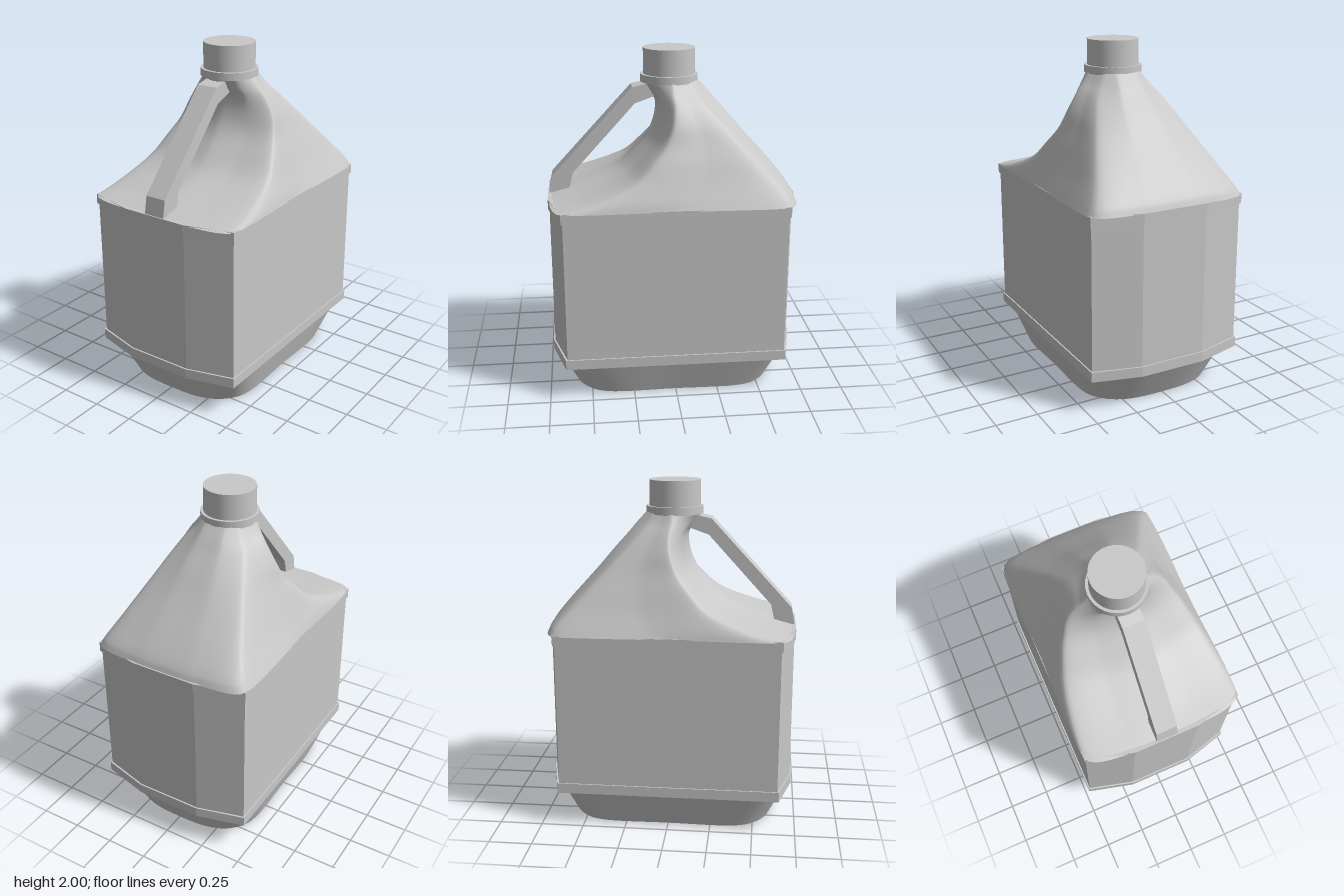
import * as THREE from 'three';

// Closed smooth ring through half-section points [x, z], from back centre to front centre
function ring(half, y, perSegment = 8, tension = 0.3) {
  const mirrored = half.slice(1, -1).reverse().map(([x, z]) => [-x, z]);
  const pts = [...half, ...mirrored].map(([x, z]) => new THREE.Vector3(x, y, z));
  const n = pts.length * perSegment;
  const curve = new THREE.CatmullRomCurve3(pts, true, 'catmullrom', tension);
  return Array.from({ length: n }, (_, i) => curve.getPoint(i / n));
}

// Skin a stack of rings, bottom to top
function loft(rings) {
  const n = rings[0].length;
  const geo = new THREE.BufferGeometry().setFromPoints(rings.flat());
  const index = [];
  for (let r = 0; r < rings.length - 1; r++) {
    for (let i = 0; i < n; i++) {
      const a = r * n + i, b = r * n + (i + 1) % n;
      index.push(a, a + n, b, b, a + n, b + n);
    }
  }
  geo.setIndex(index);
  geo.computeVertexNormals();
  return geo;
}

// Eight-sided plan extruded upward
function octagonPrism(hx, hz, y0, y1) {
  const cx = 0.2, cz = hz - 0.075;
  const shape = new THREE.Shape([
    [hx, -cz], [hx, cz], [cx, hz], [-cx, hz], [-hx, cz], [-hx, -cz], [-cx, -hz], [cx, -hz],
  ].map(([x, z]) => new THREE.Vector2(x, z)));
  const geo = new THREE.ExtrudeGeometry(shape, { depth: y1 - y0, bevelEnabled: false });
  return geo.rotateX(-Math.PI / 2).translate(0, y0, 0);
}

export function createModel() {
  const model = new THREE.Group();
  model.name = 'jug';
  const plastic = new THREE.MeshStandardMaterial({ color: 0xc8c8c8 });
  plastic.name = 'grey plastic';
  const add = (name, geo) => {
    const mesh = new THREE.Mesh(geo, plastic);
    mesh.name = name;
    model.add(mesh);
  };

  // Tapered foot with rounded corners
  const quarter = (pts) => [
    ...pts.map(([x, z]) => [x, -z]),
    ...pts.slice(0, -1).reverse(),
  ];
  const footBottom = ring(quarter([[0, 0.61], [0.2, 0.595], [0.34, 0.52], [0.41, 0.37], [0.41, 0]]), 0, 6, 0.5);
  const footTop = ring(quarter([[0, 0.72], [0.22, 0.695], [0.39, 0.62], [0.475, 0.47], [0.475, 0]]), 0.2, 6, 0.5);
  add('foot', loft([footBottom, footTop]));
  const sole = new THREE.ShapeGeometry(new THREE.Shape(footBottom.map((p) => new THREE.Vector2(p.x, p.z))));
  add('sole', sole.rotateX(Math.PI / 2));

  // Straight body and its two bands
  add('body', octagonPrism(0.477, 0.717, 0.24, 1.12));
  add('lowerBand', octagonPrism(0.485, 0.726, 0.2, 0.26));
  add('upperBand', octagonPrism(0.485, 0.726, 1.1, 1.16));

  // Shoulder: y, back z, back flat x, corner x, corner z, side x, crease z, dent x, dent z, front z
  const levels = [
    [1.155, 0.72, 0.2, 0.48, 0.645, 0.48, 0.645, 0.2, 0.72, 0.72],
    [1.2, 0.70, 0.19, 0.455, 0.63, 0.465, 0.455, 0.2, 0.53, 0.57],
    [1.3, 0.62, 0.17, 0.40, 0.55, 0.42, 0.22, 0.19, 0.28, 0.32],
    [1.4, 0.53, 0.15, 0.35, 0.46, 0.38, 0.12, 0.18, 0.17, 0.21],
    [1.5, 0.44, 0.13, 0.30, 0.37, 0.335, 0.04, 0.17, 0.09, 0.13],
    [1.6, 0.355, 0.11, 0.25, 0.28, 0.30, 0.0, 0.16, 0.06, 0.09],
    [1.7, 0.265, 0.09, 0.195, 0.19, 0.245, -0.01, 0.15, 0.06, 0.085],
    [1.76, 0.215, 0.075, 0.15, 0.145, 0.2, 0.0, 0.12, 0.09, 0.13],
    [1.815, 0.165, 0.063, 0.117, 0.117, 0.165, 0.0, 0.117, 0.117, 0.165],
  ];
  const sections = levels.map(([y, zb, xb, xc, zc, xs, zs, xd, zd, zf]) => ring([
    [0, -zb], [xb, -zb + 0.005], [xc, -zc], [(xc + xs) / 2 + 0.003, (zs - zc) / 2],
    [xs, zs], [xd, zd], [0, zf],
  ], y));
  const steps = 32;
  const columns = sections[0].map((_, i) =>
    new THREE.CatmullRomCurve3(sections.map((s) => s[i])).getPoints(steps));
  add('shoulder', loft(Array.from({ length: steps + 1 }, (_, r) => columns.map((c) => c[r]))));

  // Handle bar: side outline [z, y] extruded across x
  const outline = [
    [0.72, 1.155], [0.70, 1.26], [0.22, 1.78], [0.13, 1.80],
    [0.08, 1.73], [0.205, 1.685], [0.578, 1.275], [0.605, 1.155],
  ];
  const handle = new THREE.ExtrudeGeometry(
    new THREE.Shape(outline.map(([z, y]) => new THREE.Vector2(z, y))),
    { depth: 0.128, bevelEnabled: false });
  add('handle', handle.translate(0, 0, -0.064).rotateY(-Math.PI / 2));

  // Neck collar and cap
  add('collar', new THREE.CylinderGeometry(0.168, 0.168, 0.045, 48).translate(0, 1.8275, 0));
  add('cap', new THREE.CylinderGeometry(0.151, 0.151, 0.155, 48).translate(0, 1.9225, 0));

  return model;
}
